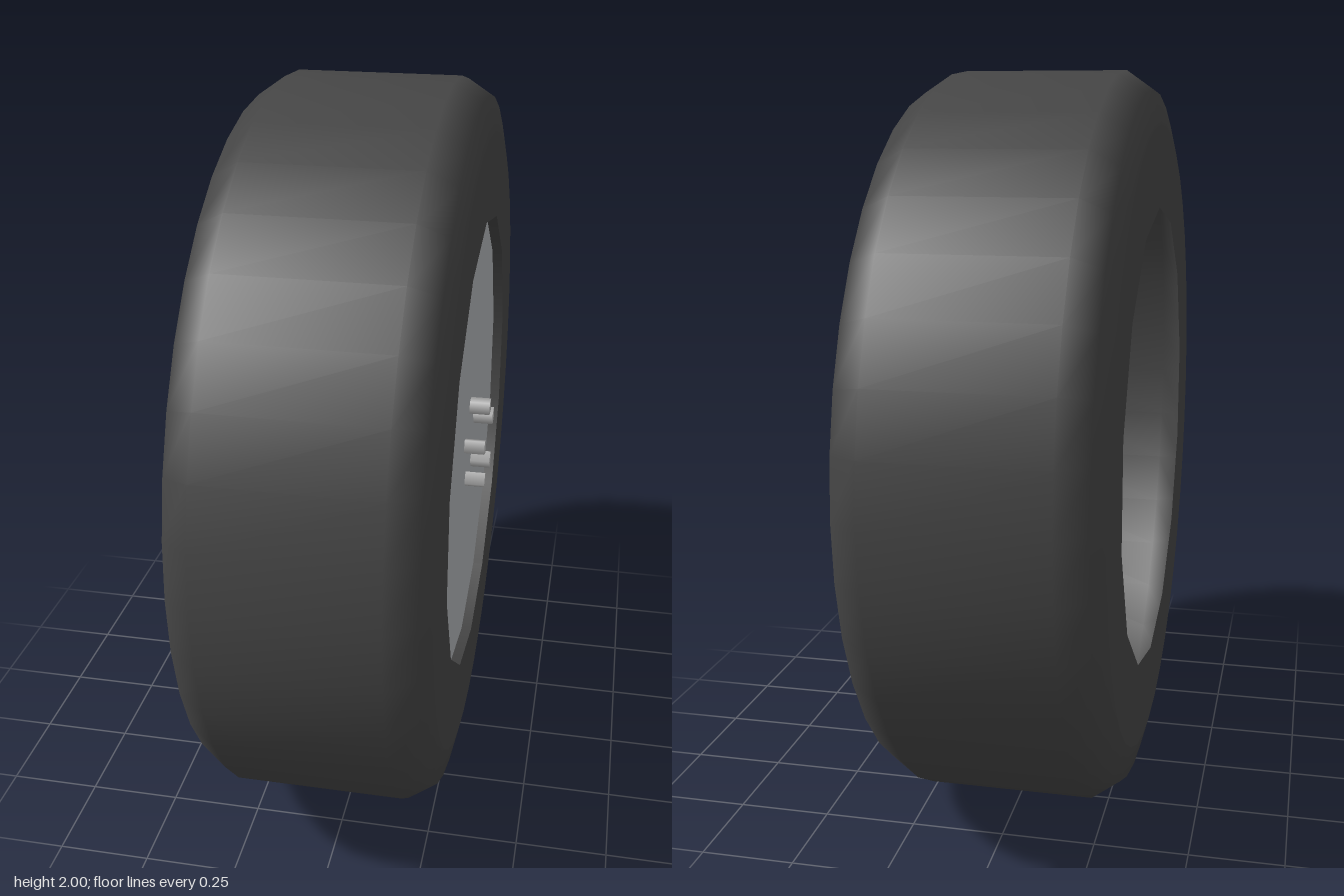
import * as THREE from 'three';

const SIDES = 40;        // outer tyre segments
const RIM_SIDES = 14;    // rim opening segments
const RIM = 0.64;
const SHOULDER = 0.86;

export function createModel() {
  const rubber = new THREE.MeshStandardMaterial({ color: 0x454545, side: THREE.DoubleSide });
  rubber.name = 'rubber';
  const steel = new THREE.MeshStandardMaterial({ color: 0xb0b3b6 });
  steel.name = 'steel';
  const nutSteel = new THREE.MeshStandardMaterial({ color: 0xb4b4b4 });
  nutSteel.name = 'nutSteel';

  const wheel = new THREE.Group();
  wheel.name = 'wheel';
  wheel.position.y = 1;
  const add = (name, geometry, material, parent = wheel) => {
    const mesh = new THREE.Mesh(geometry, material);
    mesh.name = name;
    parent.add(mesh);
    return mesh;
  };

  // Regular polygon with one corner pointing up
  const polygon = (radius, sides) => Array.from({ length: sides }, (_, i) => {
    const a = Math.PI / 2 + (i / sides) * Math.PI * 2;
    return new THREE.Vector2(Math.cos(a) * radius, Math.sin(a) * radius);
  });

  // Flat disc facing +x at a given x
  const disc = (radius, sides, x) =>
    new THREE.CircleGeometry(radius, sides, Math.PI / 2).rotateY(Math.PI / 2).translate(x, 0, 0);

  // Tread and rounded shoulders: a hollow shell around the x axis
  const profile = [
    [SHOULDER, -0.33], [0.95, -0.307], [1, -0.235],
    [1, 0.205], [0.953, 0.28], [SHOULDER, 0.3],
  ].map(([r, x]) => new THREE.Vector2(r, x));
  add('tread', new THREE.LatheGeometry(profile, SIDES).rotateZ(-Math.PI / 2), rubber);

  // Flat sidewalls with the faceted rim opening
  for (const side of [1, -1]) {
    const ring = new THREE.Shape(polygon(SHOULDER, SIDES));
    ring.holes.push(new THREE.Path(polygon(RIM, RIM_SIDES)));
    const geometry = new THREE.ShapeGeometry(ring)
      .rotateY(side * Math.PI / 2)
      .translate(side > 0 ? 0.3 : -0.33, 0, 0);
    add(side > 0 ? 'outerSidewall' : 'innerSidewall', geometry, rubber);
  }

  // Shallow recess that holds the wheel disc
  const lip = new THREE.CylinderGeometry(RIM, RIM, 0.034, RIM_SIDES, 1, true, -Math.PI / 2)
    .rotateZ(-Math.PI / 2).translate(0.283, 0, 0);
  add('rimLip', lip, rubber);
  add('discBacking', disc(RIM, RIM_SIDES, 0.266), rubber);

  // Wheel disc and hub plate
  add('wheelDisc', disc(RIM, RIM_SIDES, 0.271), steel);
  add('hubPlate', disc(0.22, 8, 0.274), steel);

  // Five wheel nuts
  const nut = new THREE.CylinderGeometry(0.025, 0.025, 0.06, 4, 1, false, Math.PI / 4)
    .rotateZ(-Math.PI / 2).translate(0.3, 0.11, 0);
  for (let i = 0; i < 5; i++) {
    add('wheelNut', nut, nutSteel).rotation.x = (i / 5) * Math.PI * 2;
  }

  const model = new THREE.Group();
  model.name = 'model';
  model.add(wheel);
  return model;
}
